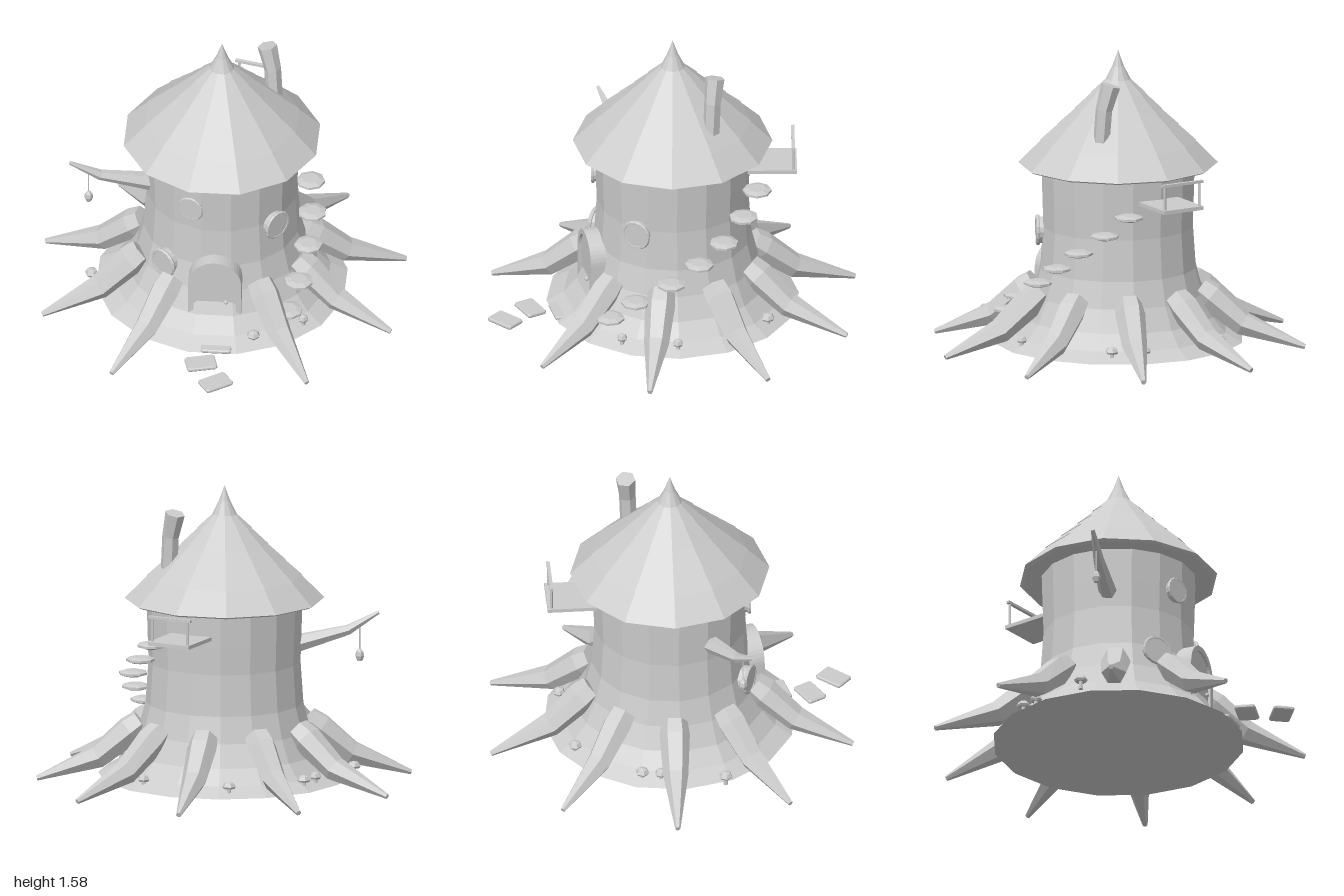
import * as THREE from 'three';

const material = new THREE.MeshStandardMaterial({ color: 0xcccccc, flatShading: true });
const V = (x, y, z) => new THREE.Vector3(x, y, z);

function add(parent, name, geometry, x = 0, y = 0, z = 0, rotY = 0) {
  const mesh = new THREE.Mesh(geometry, material);
  mesh.name = name;
  mesh.position.set(x, y, z);
  mesh.rotation.y = rotY;
  parent.add(mesh);
  return mesh;
}

// Faceted limb: closed rings of varying radius swept along a few points
function limb(points, radii, sides, ref) {
  const pos = [], index = [], n = points.length;
  points.forEach((p, i) => {
    const t = points[Math.min(i + 1, n - 1)].clone().sub(points[Math.max(i - 1, 0)]).normalize();
    const s = ref.clone().cross(t).normalize();
    const u = t.clone().cross(s);
    for (let j = 0; j < sides; j++) {
      const a = (j / sides) * Math.PI * 2;
      const q = p.clone().addScaledVector(s, radii[i] * Math.cos(a)).addScaledVector(u, radii[i] * Math.sin(a));
      pos.push(q.x, q.y, q.z);
    }
  });
  pos.push(...points[0].toArray(), ...points[n - 1].toArray());
  const first = n * sides, last = first + 1;
  for (let j = 0; j < sides; j++) {
    const k = (j + 1) % sides;
    for (let i = 0; i < n - 1; i++) {
      const a = i * sides, b = a + sides;
      index.push(a + j, a + k, b + j, a + k, b + k, b + j);
    }
    index.push(first, k, j, last, (n - 1) * sides + j, (n - 1) * sides + k);
  }
  const g = new THREE.BufferGeometry();
  g.setAttribute('position', new THREE.Float32BufferAttribute(pos, 3));
  g.setIndex(index);
  g.computeVertexNormals();
  return g;
}

const lathe = (pts, sides) =>
  new THREE.LatheGeometry(pts.map(p => new THREE.Vector2(...p)), sides, Math.PI / sides);

// Door outline: straight sides under a round arch
function arch(Type, half, bottom, spring) {
  const s = new Type();
  s.moveTo(-half, bottom);
  s.lineTo(half, bottom);
  s.lineTo(half, spring);
  s.absarc(0, spring, half, 0, Math.PI, false);
  s.lineTo(-half, bottom);
  return s;
}

export function createModel() {
  const model = new THREE.Group();
  model.name = 'treeStumpHouse';

  // Flared trunk
  add(model, 'trunk', lathe([[0, 0.04], [0.665, 0.04], [0.575, 0.09], [0.505, 0.17], [0.45, 0.29],
    [0.415, 0.43], [0.4, 0.65], [0.405, 0.8], [0.41, 0.98], [0, 0.98]], 16), 0, 0, -0.01);

  // Shingled roof: tiers with a small overhanging lip, ending in a curved spike
  const roof = [[0, 0.985], [0.505, 0.975], [0.525, 0.985]];
  [[0.405, 1.105], [0.315, 1.19], [0.225, 1.275], [0.14, 1.36]].forEach(([r, y]) =>
    roof.push([r - 0.008, y + 0.008], [r + 0.006, y]));
  roof.push([0.065, 1.435], [0.03, 1.505], [0.012, 1.555], [0, 1.59]);
  add(model, 'roof', lathe(roof, 12), 0, 0, -0.01);

  // Spreading roots, mirrored left and right, with one at the back
  const tips = [[0, -1]];
  [[0.6, -0.8], [0.95, -0.28], [0.92, 0.355], [0.515, 0.835]].forEach(([x, z]) => tips.push([x, z], [-x, z]));
  tips.forEach(([x, z]) => {
    const d = Math.hypot(x, z);
    const at = (r, y) => V((x / d) * r, y, (z / d) * r);
    add(model, 'root', limb([at(0.44, 0.32), at(0.5, 0.275), at(0.67, 0.135), at(d, 0.02)],
      [0.07, 0.08, 0.066, 0.014], 6, V(0, 1, 0)));
  });

  // Bent chimney
  add(model, 'chimney', limb([V(0.265, 1.15, -0.15), V(0.255, 1.33, -0.16), V(0.225, 1.46, -0.18)],
    [0.045, 0.045, 0.053], 6, V(0, 0, 1)));

  // Branch with hanging lantern
  add(model, 'branch', limb([V(-0.36, 0.735, 0.09), V(-0.63, 0.81, 0.155), V(-0.785, 0.905, 0.19)],
    [0.05, 0.028, 0.01], 6, V(0, 1, 0)));
  const lantern = new THREE.Group();
  lantern.name = 'lantern';
  lantern.position.set(-0.688, 0.675, 0.168);
  add(lantern, 'lanternString', new THREE.CylinderGeometry(0.003, 0.003, 0.16, 5), 0, 0.1, 0);
  add(lantern, 'lanternBody', lathe([[0, -0.032], [0.014, -0.03], [0.024, -0.005], [0.02, 0.018], [0.008, 0.032], [0, 0.034]], 6));
  model.add(lantern);

  // Arched door, frame and knob
  const frame = arch(THREE.Shape, 0.14, 0.1, 0.36);
  frame.holes.push(arch(THREE.Path, 0.112, 0.12, 0.36));
  const extrude = (s, depth) => new THREE.ExtrudeGeometry(s, { depth, bevelEnabled: false, curveSegments: 10 });
  add(model, 'doorFrame', extrude(frame, 0.12), 0, 0, 0.35);
  add(model, 'door', extrude(arch(THREE.Shape, 0.115, 0.1, 0.36), 0.105), 0, 0, 0.35);
  add(model, 'doorKnob', new THREE.IcosahedronGeometry(0.012, 1), 0.06, 0.25, 0.472);

  // Round windows: angle from the front, distance, height, radius
  [[-0.325, 0.4, 0.79, 0.072], [0.84, 0.405, 0.625, 0.083], [-0.68, 0.43, 0.39, 0.083]].forEach(([a, d, y, r]) => {
    const win = new THREE.Group();
    win.name = 'window';
    win.position.set(Math.sin(a) * d, y, Math.cos(a) * d - 0.01);
    win.rotation.y = a;
    add(win, 'windowPane', new THREE.CylinderGeometry(r * 0.85, r * 0.85, 0.05, 16).rotateX(Math.PI / 2));
    add(win, 'windowRim', new THREE.TorusGeometry(r * 0.87, r * 0.13, 6, 16), 0, 0, 0.018);
    model.add(win);
  });

  // Spiral of disc steps
  [[0.385, 0.43], [0.43, 0.305], [0.465, 0.12], [0.475, -0.03], [0.455, -0.17], [0.385, -0.295], [0.3, -0.39]].forEach(([x, z], i) =>
    add(model, 'step', lathe([[0, -0.016], [0.045, -0.016], [0.076, -0.006], [0.076, 0.006], [0.045, 0.016], [0, 0.016]], 8),
      x, 0.185 + i * 0.101, z, Math.atan2(x, z)));

  // Lookout platform with railing
  const deck = new THREE.Group();
  deck.name = 'lookout';
  deck.position.set(0.115, 0.848, -0.52);
  deck.rotation.y = Math.PI - 0.24;
  add(deck, 'platform', new THREE.BoxGeometry(0.24, 0.02, 0.26));
  [-1, 1].forEach(s => add(deck, 'railPost', new THREE.CylinderGeometry(0.007, 0.007, 0.14, 6), s * 0.105, 0.07, 0.11));
  add(deck, 'handrail', new THREE.BoxGeometry(0.25, 0.014, 0.018), 0, 0.14, 0.11);
  model.add(deck);

  // Stepping stones to the door
  const slab = new THREE.Shape();
  [[-0.07, -0.055], [0.07, -0.055], [0.08, -0.045], [0.08, 0.045], [0.07, 0.055], [-0.07, 0.055], [-0.08, 0.045], [-0.08, -0.045]]
    .forEach(([x, y], i) => (i ? slab.lineTo(x, y) : slab.moveTo(x, y)));
  const stone = new THREE.ExtrudeGeometry(slab, { depth: 0.01, bevelThickness: 0.006, bevelSize: 0.005, bevelOffset: -0.005, bevelSegments: 1 })
    .rotateX(-Math.PI / 2);
  [[0.02, 0.595, 0], [-0.05, 0.75, 0.26], [0.04, 0.91, 0.6]].forEach(([x, z, a]) =>
    add(model, 'steppingStone', stone, x, 0.046, z, a));

  // Mushrooms around the foot of the trunk
  [[-0.17, -0.59, 1], [-0.51, -0.33, 1], [-0.68, 0.075, 1], [0.445, -0.41, 1], [0.31, -0.52, 0.9], [-0.55, -0.24, 0.9],
    [0.59, 0.115, 0.75], [0.46, 0.385, 0.75], [0.21, 0.545, 1]].forEach(([x, z, s], i) => {
    const m = new THREE.Group();
    m.name = 'mushroom';
    m.position.set(x, 0.045, z);
    m.rotation.y = i;
    add(m, 'mushroomStalk', new THREE.CylinderGeometry(0.01, 0.013, 0.06, 6), 0, 0.03, 0);
    add(m, 'mushroomCap', lathe([[0, 0.045], [0.03, 0.042], [0.037, 0.053], [0.026, 0.072], [0, 0.08]].map(([r, y]) => [r * s, y]), 6));
    model.add(m);
  });

  return model;
}
